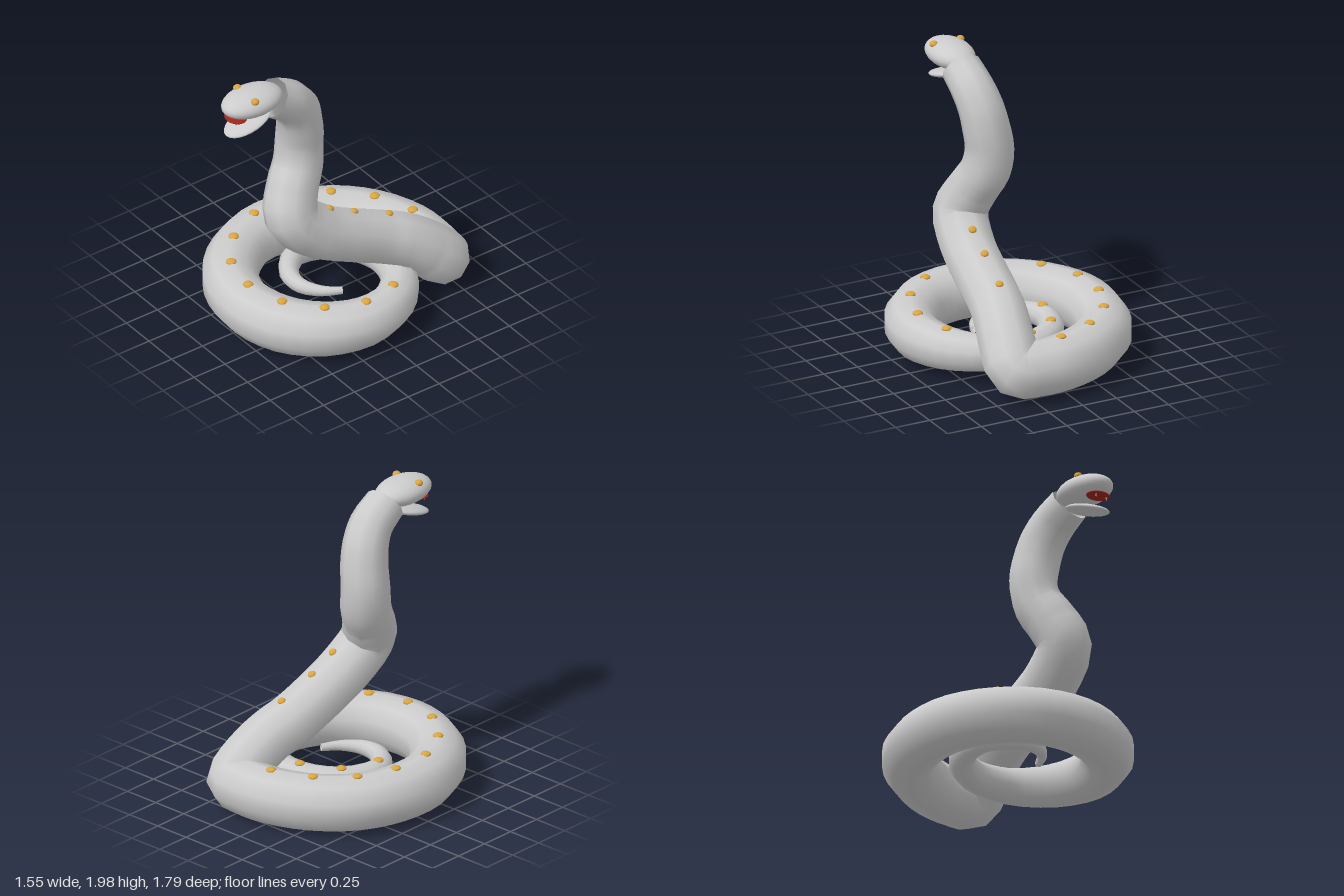
import * as THREE from 'three';

const grey = new THREE.MeshStandardMaterial({ color: 0xcccccc });
const greyOpen = new THREE.MeshStandardMaterial({ color: 0xcccccc, side: THREE.DoubleSide });
const gold = new THREE.MeshStandardMaterial({ color: 0xd9a441 });
const red = new THREE.MeshStandardMaterial({ color: 0xa02318 });

// Flat coil from tail tip to back: x, z, body radius
const COIL = [
  [0.25, 0.05, 0.025], [0.18, 0.16, 0.035], [0.05, 0.24, 0.05], [-0.11, 0.22, 0.065],
  [-0.26, 0.05, 0.08], [-0.18, -0.22, 0.09], [0.05, -0.37, 0.105], [0.34, -0.34, 0.122],
  [0.55, -0.14, 0.145], [0.62, 0.13, 0.165], [0.53, 0.4, 0.18], [0.32, 0.59, 0.187],
  [0.04, 0.66, 0.19], [-0.23, 0.6, 0.19], [-0.45, 0.42, 0.19], [-0.58, 0.16, 0.19],
  [-0.58, -0.13, 0.19], [-0.48, -0.39, 0.19], [-0.27, -0.59, 0.19], [0, -0.7, 0.19],
].map(([x, z, r]) => [x, 0.21, z, r]);

// Raised body and neck: x, y, z, body radius
const NECK = [
  [0.2, 0.21, -0.71, 0.19], [0.33, 0.22, -0.69, 0.19], [0.32, 0.34, -0.56, 0.19],
  [0.28, 0.45, -0.4, 0.185], [0.245, 0.51, -0.255, 0.185], [0.22, 0.625, 0.015, 0.185],
  [0.2, 0.74, 0.23, 0.185], [0.16, 0.91, 0.4, 0.185], [0.1, 1.07, 0.35, 0.175],
  [0.05, 1.22, 0.265, 0.168], [0.03, 1.38, 0.24, 0.162], [0.05, 1.53, 0.25, 0.158],
  [0.07, 1.66, 0.285, 0.152], [0.09, 1.77, 0.36, 0.145], [0.1, 1.87, 0.51, 0.135],
];
const PATH = [...COIL, ...NECK];
const SPOTS = [4, 5, 6, 7, 8, 9, 10, 11, 12, 13, 14, 15, 16, 17, 18, 19, 24, 25, 26];

function ellipsoid(name, material, pos, scale) {
  const mesh = new THREE.Mesh(new THREE.SphereGeometry(1, 24, 16), material);
  mesh.name = name;
  mesh.position.set(...pos);
  mesh.scale.set(...scale);
  return mesh;
}

export function createModel() {
  const model = new THREE.Group();
  model.name = 'snake';

  // Sample evenly per control point so radii line up with the path
  const curve = new THREE.CatmullRomCurve3(PATH.map(([x, y, z]) => new THREE.Vector3(x, y, z)));
  curve.getPointAt = curve.getPoint;
  curve.getTangentAt = curve.getTangent;

  // Body: unit tube with each ring scaled to the local radius
  const last = PATH.length - 1, rings = last * 3, sides = 10;
  const body = new THREE.TubeGeometry(curve, rings, 1, sides);
  const pos = body.attributes.position, v = new THREE.Vector3();
  for (let i = 0; i <= rings; i++) {
    const k = Math.min(Math.floor(i / 3), last - 1);
    const r = THREE.MathUtils.lerp(PATH[k][3], PATH[k + 1][3], i / 3 - k);
    const c = curve.getPoint(i / rings);
    for (let j = 0; j <= sides; j++) {
      const n = i * (sides + 1) + j;
      v.fromBufferAttribute(pos, n).sub(c).multiplyScalar(r).add(c);
      pos.setXYZ(n, v.x, v.y, v.z);
    }
  }
  const bodyMesh = new THREE.Mesh(body, greyOpen);
  bodyMesh.name = 'body';
  model.add(bodyMesh);

  // Spots along the top of the back
  const up = new THREE.Vector3(0, 1, 0);
  const spots = new THREE.Group();
  spots.name = 'spots';
  for (const k of SPOTS) {
    const t = curve.getTangent(k / last);
    const n = up.clone().addScaledVector(t, -t.y).normalize();
    const p = curve.getPoint(k / last).addScaledVector(n, PATH[k][3] - 0.005);
    const s = k > 20 ? 0.027 : 0.034;
    const spot = ellipsoid('spot', gold, p.toArray(), [s, 0.017, s]);
    spot.quaternion.setFromUnitVectors(up, n);
    spots.add(spot);
  }
  model.add(spots);

  // Head, mouth and lower jaw
  const head = new THREE.Group();
  head.name = 'head';
  head.add(ellipsoid('skull', grey, [0.093, 1.912, 0.67], [0.148, 0.088, 0.225]));
  head.add(ellipsoid('mouth', red, [0.093, 1.832, 0.8], [0.085, 0.014, 0.07]));
  const jaw = ellipsoid('lowerJaw', grey, [0.09, 1.763, 0.7], [0.116, 0.03, 0.183]);
  jaw.rotation.x = 0.3;
  head.add(jaw);

  // Eyes and fangs in pairs
  for (const side of [-1, 1]) {
    head.add(ellipsoid('eye', gold, [0.093 + side * 0.098, 1.975, 0.715], [0.028, 0.022, 0.028]));
    const fang = new THREE.Mesh(new THREE.ConeGeometry(0.006, 0.03, 8), grey);
    fang.name = 'fang';
    fang.position.set(0.093 + side * 0.045, 1.812, 0.83);
    fang.rotation.x = Math.PI;
    head.add(fang);
  }
  model.add(head);
  return model;
}
